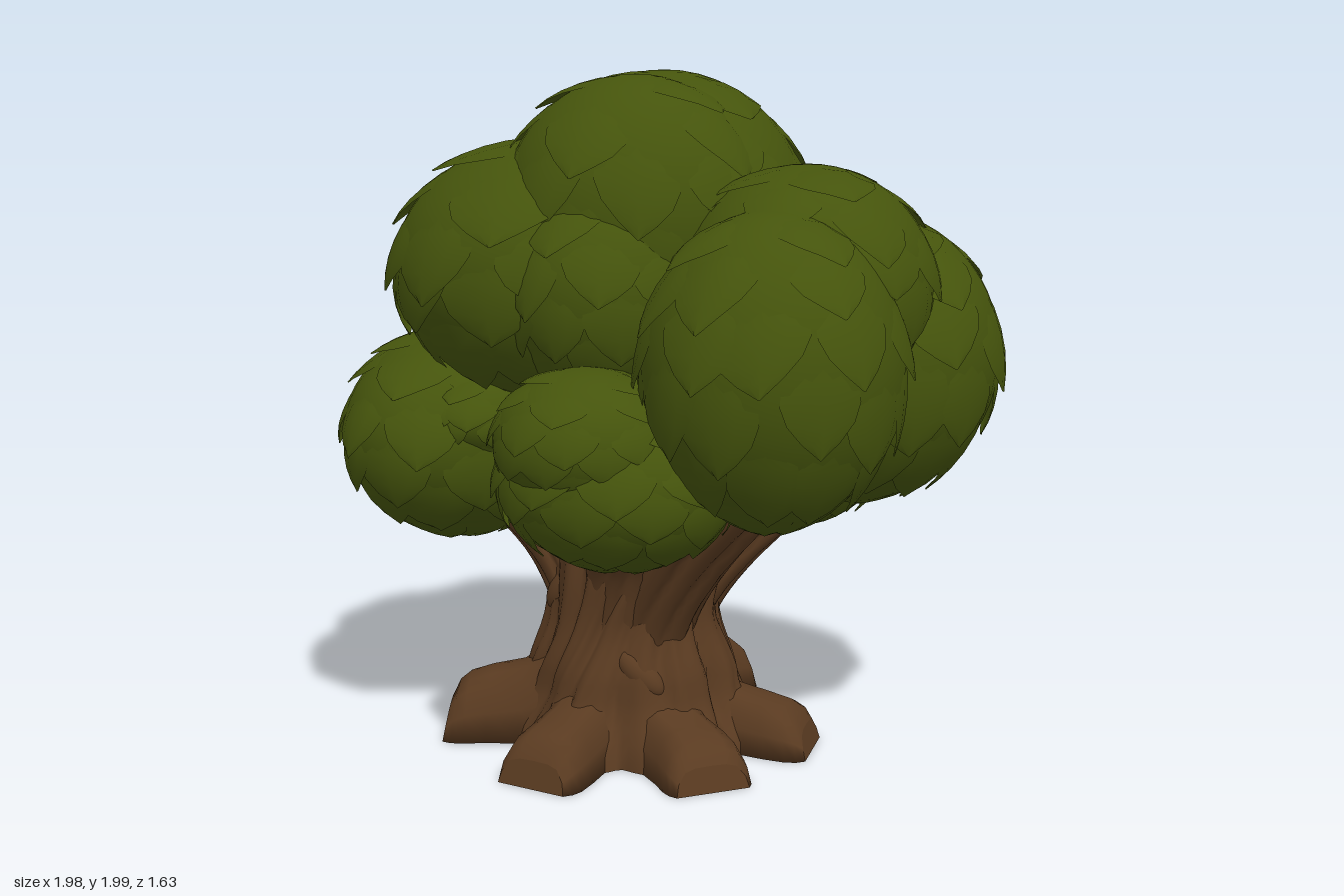
import * as THREE from 'three';
import { mergeGeometries } from 'three/addons/utils/BufferGeometryUtils.js';

const V = (x, y, z) => new THREE.Vector3(x, y, z);
const UP = V(0, 1, 0);

let seed = 7;
function rand() {
  seed = (seed * 16807) % 2147483647;
  return seed / 2147483647;
}
const jitter = (amount) => (rand() - 0.5) * 2 * amount;

// Surface through rows of points; closed rows wrap round and get end caps
function skin(rows, closed) {
  const n = rows[0].length;
  const points = rows.flat();
  const index = [];
  for (let i = 0; i < rows.length - 1; i++) {
    for (let j = 0; j < (closed ? n : n - 1); j++) {
      const k = (j + 1) % n;
      const a = i * n + j, b = i * n + k, c = (i + 1) * n + j, d = (i + 1) * n + k;
      index.push(a, c, b, b, c, d);
    }
  }
  const cap = (row, flip) => {
    const first = points.length;
    const mid = row.reduce((sum, p) => sum.add(p), V(0, 0, 0)).divideScalar(n);
    points.push(...row, mid);
    for (let j = 0; j < n; j++) {
      const a = first + j, b = first + (j + 1) % n;
      if (flip) index.push(first + n, a, b);
      else index.push(first + n, b, a);
    }
  };
  if (closed) {
    cap(rows[0], true);
    cap(rows[rows.length - 1], false);
  }
  const geometry = new THREE.BufferGeometry().setFromPoints(points);
  geometry.setIndex(index);
  geometry.computeVertexNormals();
  return geometry;
}

// Interpolate [position, value] pairs smoothly
function ramp(pairs, x) {
  for (let i = 1; i < pairs.length; i++) {
    if (x <= pairs[i][0]) {
      const [x0, a] = pairs[i - 1], [x1, b] = pairs[i];
      const t = Math.max(0, (x - x0) / (x1 - x0));
      return a + (b - a) * t * t * (3 - 2 * t);
    }
  }
  return pairs[pairs.length - 1][1];
}

// Bark relief: sharp grooves between rounded ridges
const furrow = (angle, ridges) => 1 - 2 * (1 - Math.abs(Math.sin(angle * ridges / 2))) ** 2;

// Roots: heading x and z, height factor, length factor
const ROOTS = [[0.19, -0.98, 1.12, 1], [1, -0.12, 0.85, 0.95], [0.71, 0.71, 0.8, 0.98],
  [-0.14, 0.99, 0.85, 0.98], [-0.91, 0.4, 1.1, 0.98], [-0.71, -0.71, 1.05, 0.98]];
const CENTRE_X = -0.08;

// Twisted, furrowed trunk with a spread foot, rising into the crown
function trunkGeometry() {
  const profile = [[0, 0.36], [0.2, 0.29], [0.4, 0.245], [0.6, 0.25], [0.85, 0.24], [1.2, 0.2]];
  const rows = [];
  for (let i = 0; i <= 32; i++) {
    const y = i / 32 * 1.2;
    const row = [];
    for (let j = 0; j < 120; j++) {
      const a = j / 120 * Math.PI * 2;
      const twist = a + 0.5 * y + 0.12 * Math.sin(y * 9 + a * 2);
      let lobe = 0;
      for (const [x, z] of ROOTS) {
        lobe += Math.max(0, Math.cos(a) * x + Math.sin(a) * z) ** 12;
      }
      const r = ramp(profile, y) + 0.014 * furrow(twist, 14) + 0.006 * Math.sin(twist * 23 + y * 5)
        + (lobe - 0.5) * 0.08 * Math.max(0, 1 - y / 0.45);
      row.push(V(CENTRE_X + r * Math.cos(a) + 0.15 * Math.max(0, y - 0.4), y, r * Math.sin(a)));
    }
    rows.push(row);
  }
  return skin(rows, true);
}

// Blunt root: arched sections swept outwards along the ground
function rootGeometry([dx, dz, tall, long]) {
  const out = V(dx, 0, dz).normalize();
  const side = UP.clone().cross(out);
  const arch = [[1, 0], [0.98, 0.45], [0.86, 0.75], [0.45, 0.97], [0, 1.05],
    [0, -1.05], [0.45, -0.97], [0.86, -0.75], [0.98, -0.45]];
  // Distance out, height, half width
  const stations = [[0.12, 0.46, 0.13], [0.21, 0.34, 0.13], [0.28, 0.25, 0.125], [0.36, 0.2, 0.115],
    [0.46, 0.18, 0.12], [0.53, 0.16, 0.125], [0.565, 0.135, 0.12], [0.59, 0.09, 0.105]];
  const bend = jitter(0.03);
  const rows = stations.map(([d, h, w]) => arch.map(([v, s]) => V(CENTRE_X, 0, 0)
    .addScaledVector(out, d * long - 0.02 * v)
    .addScaledVector(side, s * w + bend * Math.sin(d * 9))
    .addScaledVector(UP, v * h * tall)));
  return skin(rows, true);
}

// Furrowed limb along a curve
function limbGeometry(points, r0, r1) {
  const curve = new THREE.CatmullRomCurve3(points.map((p) => V(...p)));
  const rows = [];
  for (let i = 0; i <= 18; i++) {
    const t = i / 18;
    const tangent = curve.getTangent(t);
    const n = V(0.31, 0.1, 0.95).cross(tangent).normalize();
    const b = n.clone().cross(tangent);
    const row = [];
    for (let j = 0; j < 60; j++) {
      const a = j / 60 * Math.PI * 2;
      const twist = a + 0.6 * t + 0.12 * Math.sin(t * 6 + a * 2);
      const r = (r0 + (r1 - r0) * t) * (1 + 0.08 * furrow(twist, 10) + 0.05 * Math.sin(3 * a + 4 * t));
      row.push(curve.getPoint(t).addScaledVector(n, r * Math.cos(a)).addScaledVector(b, r * Math.sin(a)));
    }
    rows.push(row);
  }
  return skin(rows, true);
}

// One pointed leaf lying on an ellipsoid, its tip lifted and hanging down
function leafGeometry(radii, lat, lon, length, halfWidth) {
  const n = V(Math.cos(lat) * Math.sin(lon), Math.sin(lat), Math.cos(lat) * Math.cos(lon));
  const side = UP.clone().cross(n).normalize();
  const down = side.clone().cross(n).normalize();
  side.applyAxisAngle(n, jitter(0.2));
  const outline = [0.7, 0.95, 1, 0.84, 0.48, 0.02];
  const rows = outline.map((w, i) => {
    const v = i / (outline.length - 1);
    return [-1, -0.5, 0, 0.5, 1].map((u) => n.clone()
      .addScaledVector(down, v * length)
      .addScaledVector(side, u * w * halfWidth)
      .normalize()
      .multiplyScalar(0.965 + 0.075 * v - 0.022 * u * u * (1 - 0.5 * v))
      .multiply(radii));
  });
  return skin(rows, false);
}

// Clump: rounded core shingled with staggered rows of leaves
function clump(name, centre, size, material) {
  const group = new THREE.Group();
  group.name = name;
  group.position.set(...centre);
  const radii = V(...size);
  const core = new THREE.Mesh(new THREE.SphereGeometry(0.97, 40, 28), material);
  core.name = name + 'Core';
  core.scale.copy(radii);
  const leaves = [];
  [-46, -20, 5, 30, 55, 80].forEach((degrees, row) => {
    const lat = degrees * Math.PI / 180;
    const count = Math.max(3, Math.round(Math.PI * 2 * Math.cos(lat) / 0.6));
    for (let i = 0; i < count; i++) {
      const lon = (i + row * 0.5 + jitter(0.2)) / count * Math.PI * 2;
      leaves.push(leafGeometry(radii, lat + jitter(0.1), lon, 0.72 + jitter(0.1), 0.36 + jitter(0.04)));
    }
  });
  const cover = new THREE.Mesh(mergeGeometries(leaves), material);
  cover.name = name + 'Leaves';
  group.add(core, cover);
  return group;
}

export function createModel() {
  const bark = new THREE.MeshStandardMaterial({ color: 0x5a3b21 });
  bark.name = 'bark brown';
  const leaf = new THREE.MeshStandardMaterial({ color: 0x45540c, side: THREE.DoubleSide });
  leaf.name = 'leaf green';

  const tree = new THREE.Group();
  tree.name = 'tree';
  const add = (name, geometry) => {
    const mesh = new THREE.Mesh(geometry, bark);
    mesh.name = name;
    tree.add(mesh);
    return mesh;
  };

  add('trunk', trunkGeometry());
  ROOTS.forEach((root) => add('root', rootGeometry(root)));

  // Limbs that part from the trunk and reach into the clumps
  [
    [[[-0.16, 0.2, 0.03], [-0.2, 0.42, 0.04], [-0.3, 0.6, 0.05], [-0.52, 0.8, 0.06]], 0.12, 0.09],
    [[[-0.02, 0.15, 0.08], [0.03, 0.4, 0.1], [0.13, 0.62, 0.16], [0.34, 0.9, 0.27]], 0.1, 0.16],
    [[[-0.02, 0.15, -0.06], [0.03, 0.4, -0.07], [0.14, 0.62, -0.1], [0.38, 0.9, -0.16]], 0.1, 0.16],
    [[[-0.06, 0.15, -0.1], [-0.05, 0.4, -0.12], [0.01, 0.6, -0.2], [0.14, 0.84, -0.42]], 0.11, 0.12],
    [[[-0.08, 0.15, 0.1], [-0.06, 0.4, 0.12], [-0.02, 0.62, 0.18], [0.05, 0.86, 0.38]], 0.11, 0.13],
  ].forEach(([points, r0, r1]) => add('limb', limbGeometry(points, r0, r1)));

  // Bark knots
  [[0.04, 0.26, 0.23, 0.9], [-0.25, 0.47, 0.12, -0.6]].forEach(([x, y, z, tilt]) => {
    const knot = add('barkKnot', new THREE.SphereGeometry(1, 20, 14));
    knot.position.set(x, y, z);
    knot.scale.set(0.045, 0.09, 0.045);
    knot.rotation.z = tilt;
  });

  // Foliage: name, centre, radii
  [
    ['crown', [0, 1.5, -0.05], [0.45, 0.51, 0.52]],
    ['crownFrontClump', [-0.02, 1.58, 0.12], [0.4, 0.41, 0.38]],
    ['upperRightClump', [-0.28, 1.42, 0.07], [0.51, 0.4, 0.5]],
    ['upperFrontClump', [-0.04, 1.38, 0.2], [0.32, 0.34, 0.39]],
    ['upperBackClump', [-0.14, 1.44, -0.24], [0.5, 0.4, 0.4]],
    ['leftFrontClump', [0.5, 1.2, 0.41], [0.36, 0.43, 0.38]],
    ['leftBackClump', [0.57, 1.18, -0.17], [0.41, 0.43, 0.44]],
    ['leftTopClump', [0.5, 1.4, 0.14], [0.36, 0.34, 0.4]],
    ['rightLowClump', [-0.62, 0.92, 0.03], [0.365, 0.33, 0.47]],
    ['rightInnerClump', [-0.46, 0.99, 0.06], [0.24, 0.18, 0.38]],
    ['frontLowClump', [0.07, 0.88, 0.45], [0.35, 0.25, 0.32]],
    ['frontSmallClump', [0.02, 1.0, 0.55], [0.26, 0.2, 0.25]],
    ['backLowClump', [0.28, 0.92, -0.5], [0.33, 0.33, 0.32]],
    ['backHighClump', [-0.02, 1.04, -0.5], [0.33, 0.32, 0.32]],
  ].forEach(([name, centre, size]) => tree.add(clump(name, centre, size, leaf)));

  return tree;
}
